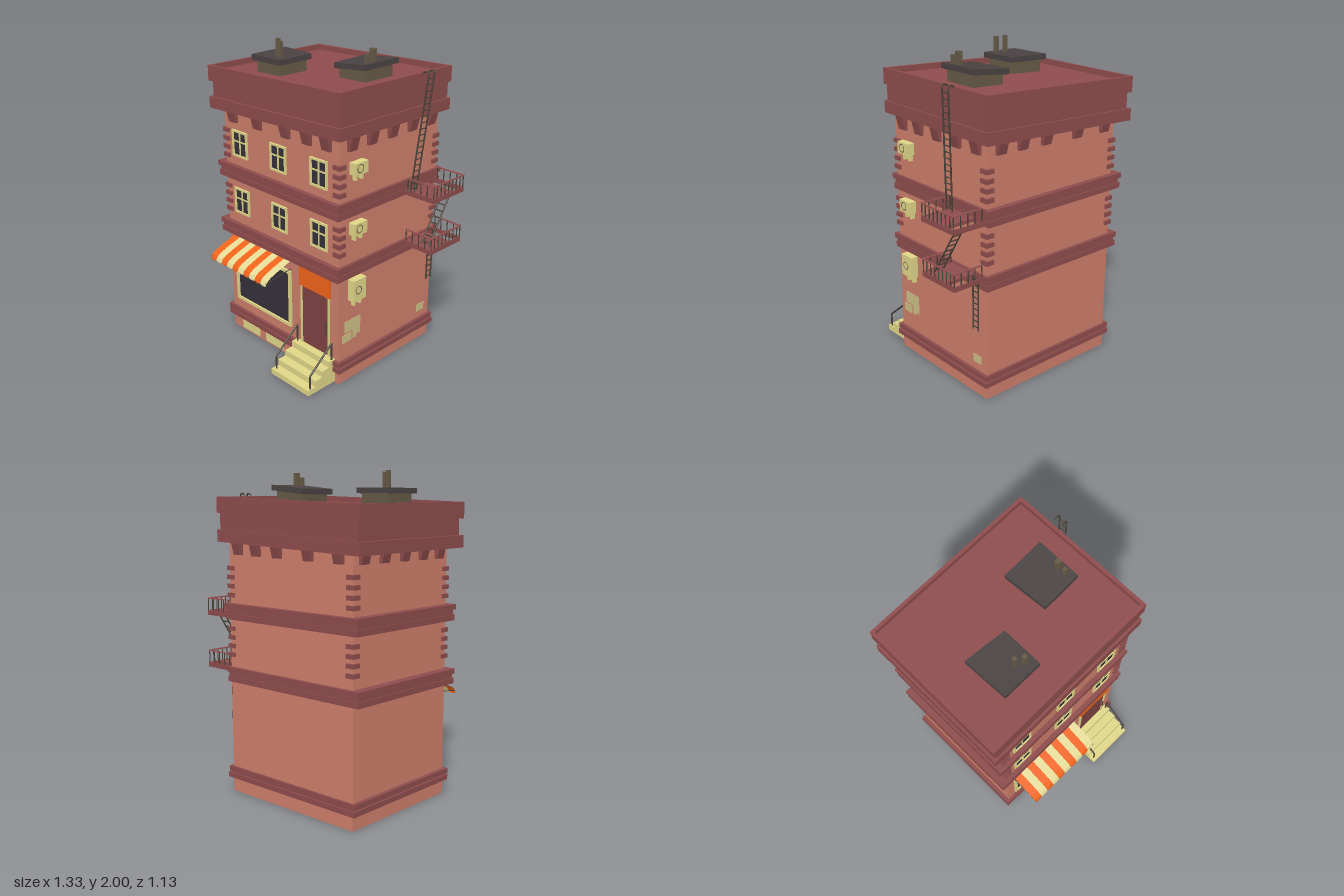
import * as THREE from 'three';

const C = { wall: 0xcd7e6a, maroon: 0x8e4c4c, dark: 0x35303a, yellow: 0xe0d688, door: 0x7f4242,
  orange: 0xf0641a, cream: 0xe4da98, metal: 0x4a4238, rail: 0x9a5454, cap: 0x4a4242, vent: 0x665a46, patch: 0xccbf84 };
const mats = {};
const mat = (c) => (mats[c] ??= new THREE.MeshStandardMaterial({ color: C[c], flatShading: true, side: THREE.DoubleSide }));

function add(parent, name, geo, color) {
  const m = new THREE.Mesh(geo, mat(color));
  m.name = name;
  parent.add(m);
  return m;
}
function group(parent, name) {
  const g = new THREE.Group();
  g.name = name;
  parent.add(g);
  return g;
}
// box from its extents
function box(parent, name, color, x0, x1, y0, y1, z0, z1) {
  const g = new THREE.BoxGeometry(x1 - x0, y1 - y0, z1 - z0);
  g.translate((x0 + x1) / 2, (y0 + y1) / 2, (z0 + z1) / 2);
  return add(parent, name, g, color);
}
// round bar between two points
function bar(parent, name, a, b, r = 0.004, color = 'metal') {
  const A = new THREE.Vector3(...a), B = new THREE.Vector3(...b), d = B.clone().sub(A);
  const m = add(parent, name, new THREE.CylinderGeometry(r, r, d.length(), 6), color);
  m.position.copy(A).add(B).multiplyScalar(0.5);
  m.quaternion.setFromUnitVectors(new THREE.Vector3(0, 1, 0), d.normalize());
  return m;
}
// shear heights so a part leans along x and z
function lean(mesh, sx, sz = 0, x0 = -0.095) {
  const p = mesh.geometry.attributes.position;
  for (let i = 0; i < p.count; i++) p.setY(i, p.getY(i) + sx * (p.getX(i) - x0) + sz * p.getZ(i));
  mesh.geometry.computeVertexNormals();
}
// framed pane on the front wall
function frame(parent, name, x0, x1, y0, y1, t, z1, paneColor) {
  const g = group(parent, name), z0 = 0.33;
  box(g, 'pane', paneColor, x0 + t, x1 - t, y0 + t, y1 - t, z0, 0.344);
  box(g, 'frameLeft', 'yellow', x0, x0 + t, y0, y1, z0, z1);
  box(g, 'frameRight', 'yellow', x1 - t, x1, y0, y1, z0, z1);
  box(g, 'frameTop', 'yellow', x0 + t, x1 - t, y1 - t, y1, z0, z1);
  box(g, 'frameBottom', 'yellow', x0 + t, x1 - t, y0, y0 + t, z0, z1);
  return g;
}
// ladder: two rails from a to b, rungs across the vector w
function ladder(parent, name, a, b, w, n) {
  const g = group(parent, name), plus = (p) => p.map((v, i) => v + w[i]);
  bar(g, 'ladderRail', a, b, 0.005);
  bar(g, 'ladderRail', plus(a), plus(b), 0.005);
  for (let i = 0; i < n; i++) {
    const p = a.map((v, k) => v + (b[k] - v) * (i + 0.5) / n);
    bar(g, 'rung', p, plus(p));
  }
  return g;
}

export function createModel() {
  const root = new THREE.Group();
  root.name = 'shopBuilding';
  const X0 = -0.575, X1 = 0.43, Z0 = -0.51, Z1 = 0.34;
  box(root, 'walls', 'wall', X0, X1, 0, 1.6, Z0, Z1);

  // string courses: [y0, y1, left, right, front, back overhang]
  for (const [y0, y1, l, r, f, b] of [
    [0.09, 0.122, 0.026, 0.025, 0.02, 0.02], [0.122, 0.13, 0.012, 0.012, 0.01, 0.01], [0.13, 0.162, 0.026, 0.02, 0.02, 0.015],
    [0.71, 0.745, 0.053, 0.012, 0.025, 0.018], [0.745, 0.77, 0.045, 0.008, 0.018, 0.012], [0.77, 0.802, 0.056, 0.018, 0.03, 0.022],
    [1.102, 1.138, 0.053, 0.012, 0.022, 0.03], [1.138, 1.168, 0.045, 0.008, 0.015, 0.022], [1.168, 1.2, 0.056, 0.018, 0.03, 0.036],
  ]) box(root, 'stringCourse', 'maroon', X0 - l, X1 + r, y0, y1, Z0 - b, Z1 + f);

  // leaning cornice and parapet
  const cornice = group(root, 'cornice');
  const L = -0.665, R = 0.475, B = -0.565, F = 0.385, t = 0.02;
  const tiers = [
    [L, R, 1.56, 1.633, B, F], [L + 0.025, R - 0.012, 1.633, 1.733, B + 0.015, F - 0.015], [L, R, 1.733, 1.795, B, F],
    [L, L + t, 1.795, 1.83, B, F], [R - t, R, 1.795, 1.83, B, F],
    [L + t, R - t, 1.795, 1.83, B, B + t], [L + t, R - t, 1.795, 1.83, F - t, F],
  ];
  for (const e of tiers) lean(box(cornice, 'corniceTier', 'maroon', ...e), 0.038, 0.012);

  // corbels on all four sides
  const prof = new THREE.Shape([[-0.01, 1.495], [0.018, 1.495], [0.04, 1.58], [-0.01, 1.58]].map((p) => new THREE.Vector2(...p)));
  const corbelGeo = new THREE.ExtrudeGeometry(prof, { depth: 0.065, bevelEnabled: false }).translate(0, 0, -0.0325);
  const corbel = (x, z, turn) => {
    const m = add(root, 'corbel', corbelGeo, 'maroon');
    m.position.set(x, 0.02 * (x - 0.2), z);
    m.rotation.y = turn * Math.PI / 2;
  };
  for (const x of [-0.48, -0.25, 0, 0.18, 0.338]) { corbel(x, Z1, -1); corbel(x, Z0, 1); }
  for (const z of [0.25, 0.09, -0.083, -0.26, -0.433]) { corbel(X1, z, 0); corbel(X0, z, 2); }

  // corner quoins
  for (const y of [0.88, 0.935, 0.988, 1.042, 1.25, 1.305, 1.36, 1.415])
    for (const [x, sx] of [[X0, -1], [X1, 1]]) for (const [z, sz] of [[Z0, -1], [Z1, 1]]) {
      const m = add(root, 'quoin', new THREE.BoxGeometry(0.055, 0.026, 0.055), 'maroon');
      m.position.set(x - sx * 0.015, y, z - sz * 0.015);
    }

  // upper windows with glazing bars
  for (const y of [0.875, 1.26]) for (const x of [-0.5, -0.145, 0.2]) {
    const w = frame(root, 'window', x, x + 0.14, y, y + 0.172, 0.013, 0.352, 'dark');
    box(w, 'mullion', 'yellow', x + 0.065, x + 0.075, y, y + 0.17, 0.33, 0.349);
    box(w, 'transom', 'yellow', x, x + 0.14, y + 0.096, y + 0.105, 0.33, 0.349);
  }

  // shop front
  frame(root, 'shopWindow', -0.515, 0.02, 0.235, 0.63, 0.02, 0.355, 'dark');
  const door = frame(root, 'door', 0.11, 0.358, 0.16, 0.585, 0.012, 0.352, 'door');
  bar(door, 'doorHandle', [0.338, 0.32, 0.357], [0.338, 0.405, 0.357], 0.005);
  for (const y of [0.33, 0.395]) bar(door, 'handleMount', [0.338, y, 0.34], [0.338, y, 0.357]);
  box(root, 'signBoard', 'orange', 0.105, 0.365, 0.577, 0.71, 0.33, 0.356);
  for (const [a, b] of [[-0.48, -0.305], [-0.24, -0.07]]) box(root, 'basementWindow', 'yellow', a, b, 0.015, 0.075, 0.33, 0.346);

  // striped awning: a curved sheet in strips with scalloped ends
  const awning = group(root, 'awning');
  const path = [[0.34, 0.705], [0.44, 0.672], [0.51, 0.645], [0.538, 0.627], [0.55, 0.605]];
  const sw = 0.054;
  for (let i = 0; i < 10; i++) {
    const x = -0.52 + i * sw, color = i % 2 ? 'cream' : 'orange';
    const g = new THREE.PlaneGeometry(sw, 1, 1, path.length - 1), p = g.attributes.position;
    for (let k = 0; k < p.count; k++) {
      const [z, y] = path[Math.floor(k / 2)];
      p.setXYZ(k, x + (k % 2) * sw, y, z);
    }
    g.computeVertexNormals();
    add(awning, 'awningStripe', g, color);
    const s = add(awning, 'scallop', new THREE.CircleGeometry(sw / 2, 10, Math.PI, Math.PI).scale(1, 0.4, 1), color);
    s.position.set(x + sw / 2, 0.605, 0.55);
  }
  for (const x of [-0.515, 0.015]) bar(awning, 'awningArm', [x, 0.645, 0.34], [x, 0.615, 0.548], 0.003);

  // steps and handrails
  const steps = group(root, 'frontSteps');
  for (let i = 0; i < 4; i++) box(steps, 'step', 'yellow', 0.066, 0.4, 0.01, 0.047 + i * 0.041, 0.33, 0.565 - i * 0.058);
  for (const x of [0.087, 0.39]) {
    bar(steps, 'handrail', [x, 0.135, 0.54], [x, 0.285, 0.36], 0.006);
    bar(steps, 'lowerPost', [x, 0.04, 0.54], [x, 0.135, 0.54], 0.006);
    bar(steps, 'upperPost', [x, 0.165, 0.36], [x, 0.285, 0.36], 0.006);
  }

  // air conditioners with brackets and fan rings
  for (const [y0, y1] of [[0.56, 0.7], [0.99, 1.065], [1.36, 1.432]]) {
    const ac = group(root, 'airConditioner');
    box(ac, 'acCase', 'yellow', 0.42, 0.477, y0, y1, 0.157, 0.262);
    for (const z of [0.18, 0.23]) box(ac, 'acBracket', 'yellow', 0.42, 0.455, y0 - 0.04, y0, z - 0.008, z + 0.008);
    const fan = add(ac, 'fanRing', new THREE.TorusGeometry(0.024, 0.003, 4, 14), 'vent');
    fan.position.set(0.477, (y0 + y1) / 2, 0.22);
    fan.rotation.y = Math.PI / 2;
  }
  // worn patches on the side wall
  for (const [y0, y1, z0, z1] of [[0.34, 0.418, 0.155, 0.29], [0.275, 0.33, 0.232, 0.312], [0.28, 0.34, 0.19, 0.218], [0.298, 0.34, 0.155, 0.19], [0.21, 0.262, -0.46, -0.39]])
    box(root, 'wallPatch', 'patch', 0.425, 0.433, y0, y1, z0, z1);

  // fire escape: two railed platforms joined by ladders
  const esc = group(root, 'fireEscape');
  const px0 = 0.43, px1 = 0.66, pz0 = -0.505, pz1 = -0.215;
  for (const y of [0.77, 1.105]) {
    const p = group(esc, 'platform'), top = y + 0.11;
    box(p, 'deck', 'maroon', px0, px1 - 0.008, y + 0.005, y + 0.025, -0.42, pz1 - 0.008);
    box(p, 'sideRim', 'maroon', px1 - 0.008, px1, y, y + 0.03, pz0, pz1);
    box(p, 'backRim', 'maroon', px0, px1, y, y + 0.03, pz0, pz0 + 0.008);
    box(p, 'frontRim', 'maroon', px0, px1, y, y + 0.03, pz1 - 0.008, pz1);
    box(p, 'sideRail', 'rail', px1 - 0.008, px1, top - 0.008, top, pz0, pz1);
    for (const z of [pz0, pz1 - 0.008]) {
      box(p, 'endRail', 'rail', 0.455, px1, top - 0.008, top, z, z + 0.008);
      for (let i = 0; i < 5; i++) bar(p, 'railPost', [0.46 + i * 0.049, y + 0.02, z + 0.004], [0.46 + i * 0.049, top, z + 0.004], 0.0035);
    }
    for (let i = 1; i < 8; i++) {
      const z = pz0 + (pz1 - pz0) * i / 8;
      bar(p, 'railPost', [px1 - 0.004, y + 0.02, z], [px1 - 0.004, top, z], 0.0035);
    }
  }
  ladder(esc, 'lowerLadder', [0.466, 0.455, -0.43], [0.466, 0.79, -0.43], [0, 0, -0.045], 9);
  ladder(esc, 'middleLadder', [0.548, 0.795, -0.26], [0.548, 1.115, -0.46], [0.058, 0, 0], 9);
  const roofLadder = ladder(esc, 'roofLadder', [0.482, 1.13, -0.217], [0.537, 1.845, -0.268], [0, 0, -0.053], 19);
  for (const z of [-0.268, -0.321]) {
    const c = new THREE.CatmullRomCurve3([[0.537, 1.845, z], [0.532, 1.862, z], [0.515, 1.865, z], [0.5, 1.855, z]].map((v) => new THREE.Vector3(...v)));
    add(roofLadder, 'ladderHook', new THREE.TubeGeometry(c, 8, 0.005, 6), 'metal');
  }

  // rooftop vents: crooked slab on a box, with pipes
  const vents = [
    { quad: [[-0.44, -0.055], [-0.175, -0.03], [-0.175, 0.23], [-0.428, 0.23]], y: 1.862, slope: 0.01,
      pipes: [[-0.277, 0.147, 0.022, 2.0], [-0.23, 0.174, 0.024, 1.995]] },
    { quad: [[0.05, -0.26], [0.318, -0.26], [0.318, 0.025], [0.07, 0.025]], y: 1.871, slope: 0.1,
      pipes: [[0.275, -0.083, 0.03, 1.99], [0.277, -0.034, 0.022, 1.965]] },
  ];
  for (const { quad, y, slope, pipes } of vents) {
    const v = group(root, 'roofVent');
    const cx = quad.reduce((s, q) => s + q[0], 0) / 4, cz = quad.reduce((s, q) => s + q[1], 0) / 4;
    const slab = (name, color, k, y0, y1) => {
      const s = new THREE.Shape(quad.map(([x, z]) => new THREE.Vector2(cx + (x - cx) * k, -(cz + (z - cz) * k))));
      const g = new THREE.ExtrudeGeometry(s, { depth: y1 - y0, bevelEnabled: false }).rotateX(-Math.PI / 2).translate(0, y0, 0);
      lean(add(v, name, g, color), slope, 0, cx);
    };
    slab('ventBase', 'vent', 0.82, 1.78, y);
    slab('ventCap', 'cap', 1, y, y + 0.033);
    for (const [x, z, w, h] of pipes) box(v, 'ventPipe', 'vent', x - w / 2, x + w / 2, y, h, z - w / 2, z + w / 2);
  }
  return root;
}
